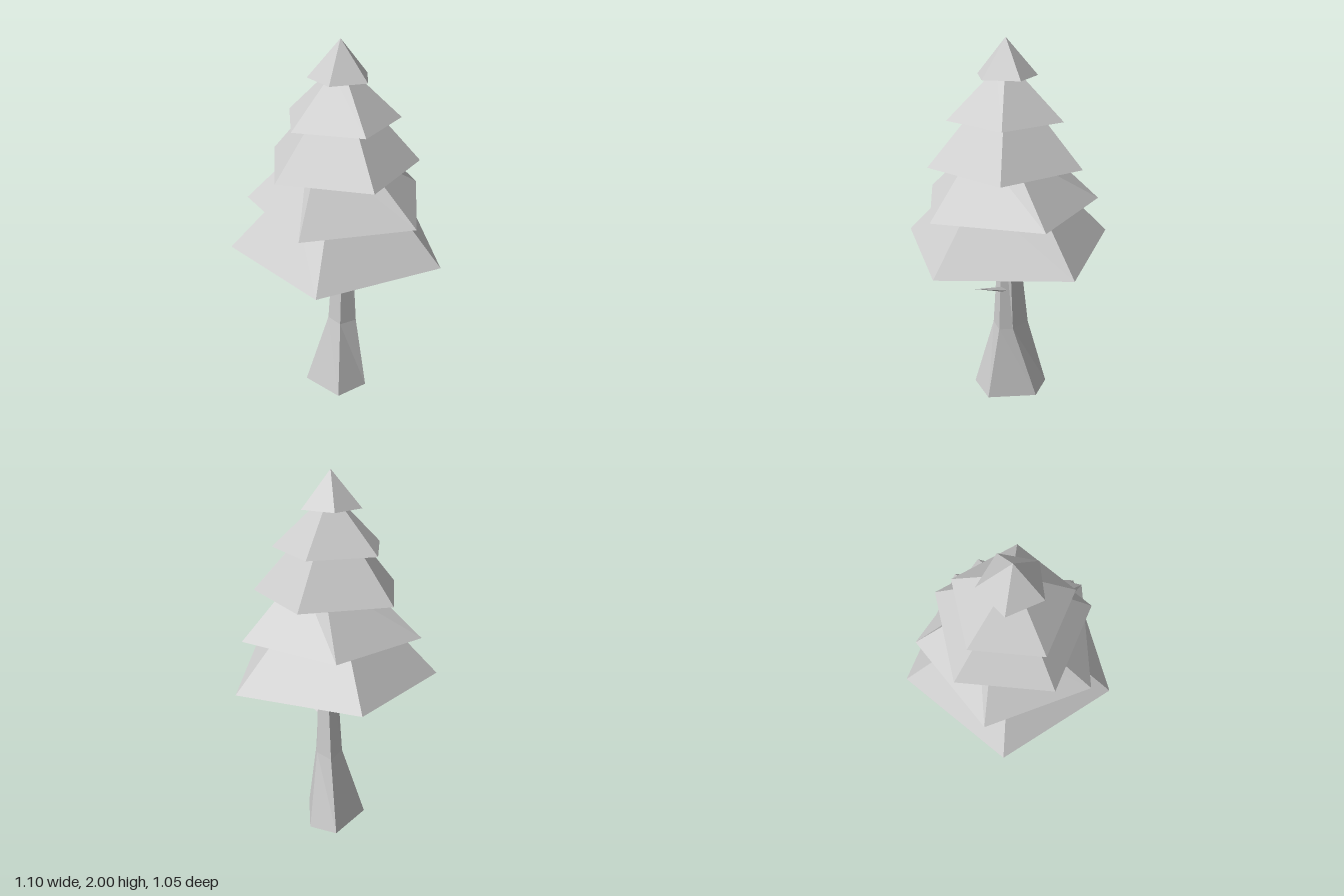
import * as THREE from 'three';

const material = new THREE.MeshStandardMaterial({ color: 0xcccccc, flatShading: true });

// Skin a stack of rings into a capped solid; each ring is a list of [x, y, z] running from +x towards +z
function loft(rings) {
  const pos = [];
  const tri = (a, b, c) => pos.push(...a, ...b, ...c);
  const n = rings[0].length;
  for (let r = 0; r < rings.length - 1; r++) {
    for (let i = 0; i < n; i++) {
      const j = (i + 1) % n;
      const [a, b, c, d] = [rings[r][i], rings[r][j], rings[r + 1][j], rings[r + 1][i]];
      tri(a, c, b);
      tri(a, d, c);
    }
  }
  const low = rings[0], top = rings[rings.length - 1];
  for (let i = 1; i < n - 1; i++) {
    tri(low[0], low[i], low[i + 1]);
    tri(top[0], top[i + 1], top[i]);
  }
  const geo = new THREE.BufferGeometry();
  geo.setAttribute('position', new THREE.Float32BufferAttribute(pos, 3));
  geo.computeVertexNormals();
  return geo;
}

function addMesh(group, name, geo) {
  const mesh = new THREE.Mesh(geo, material);
  mesh.name = name;
  group.add(mesh);
  return mesh;
}

// Regular five-sided ring around the crown's axis
const AXIS_Z = 0.053;
function pentagon(radius, y, degrees) {
  return Array.from({ length: 5 }, (_, i) => {
    const t = THREE.MathUtils.degToRad(degrees + i * 72);
    return [radius * Math.cos(t), y, AXIS_Z + radius * Math.sin(t)];
  });
}

export function createModel() {
  const tree = new THREE.Group();
  tree.name = 'pineTree';

  // Trunk: uneven five-sided column with a flared foot
  const sections = [
    [0, [[-0.087, 0.227], [-0.192, 0.005], [0.03, -0.172], [0.158, -0.07], [0.10, 0.197]]],
    [0.42, [[-0.03, 0.125], [-0.06, 0.03], [0.03, -0.06], [0.085, 0.045], [0.07, 0.12]]],
    [1.09, [[0.0, 0.09], [-0.02, 0.045], [0.035, 0.015], [0.065, 0.06], [0.045, 0.09]]],
  ];
  addMesh(tree, 'trunk', loft(sections.map(([y, pts]) => pts.map(([x, z]) => [x, y, z]))));

  // Bare twig: a thin spike leaning forward and up
  const from = new THREE.Vector3(0.06, 0.66, 0.085);
  const to = new THREE.Vector3(0.17, 0.747, 0.275);
  const dir = to.clone().sub(from);
  const twig = addMesh(tree, 'twig', new THREE.ConeGeometry(0.017, dir.length(), 3));
  twig.position.copy(from).lerp(to, 0.5);
  twig.quaternion.setFromUnitVectors(new THREE.Vector3(0, 1, 0), dir.normalize());

  // Foliage tiers with shallow hollow undersides: base y, base radius, top y, top radius, turn, twist
  const tiers = [
    [0.917, 0.58, 1.26, 0.256, -90, 0],
    [1.156, 0.491, 1.48, 0.168, -78, 16],
    [1.372, 0.411, 1.67, 0.151, 20, 0],
    [1.606, 0.306, 1.85, 0.05, 20, 0],
    [1.812, 0.162, 2.0, 0, -82, 0],
  ];
  tiers.forEach(([y0, r0, y1, r1, turn, twist], i) => {
    const hollow = pentagon(r0 * 0.31, y0 + r0 * 0.28, turn);
    const rim = pentagon(r0, y0, turn);
    const top = pentagon(r1, y1, turn + twist);
    addMesh(tree, 'foliageTier' + (i + 1), loft([hollow, rim, top]));
  });

  return tree;
}
